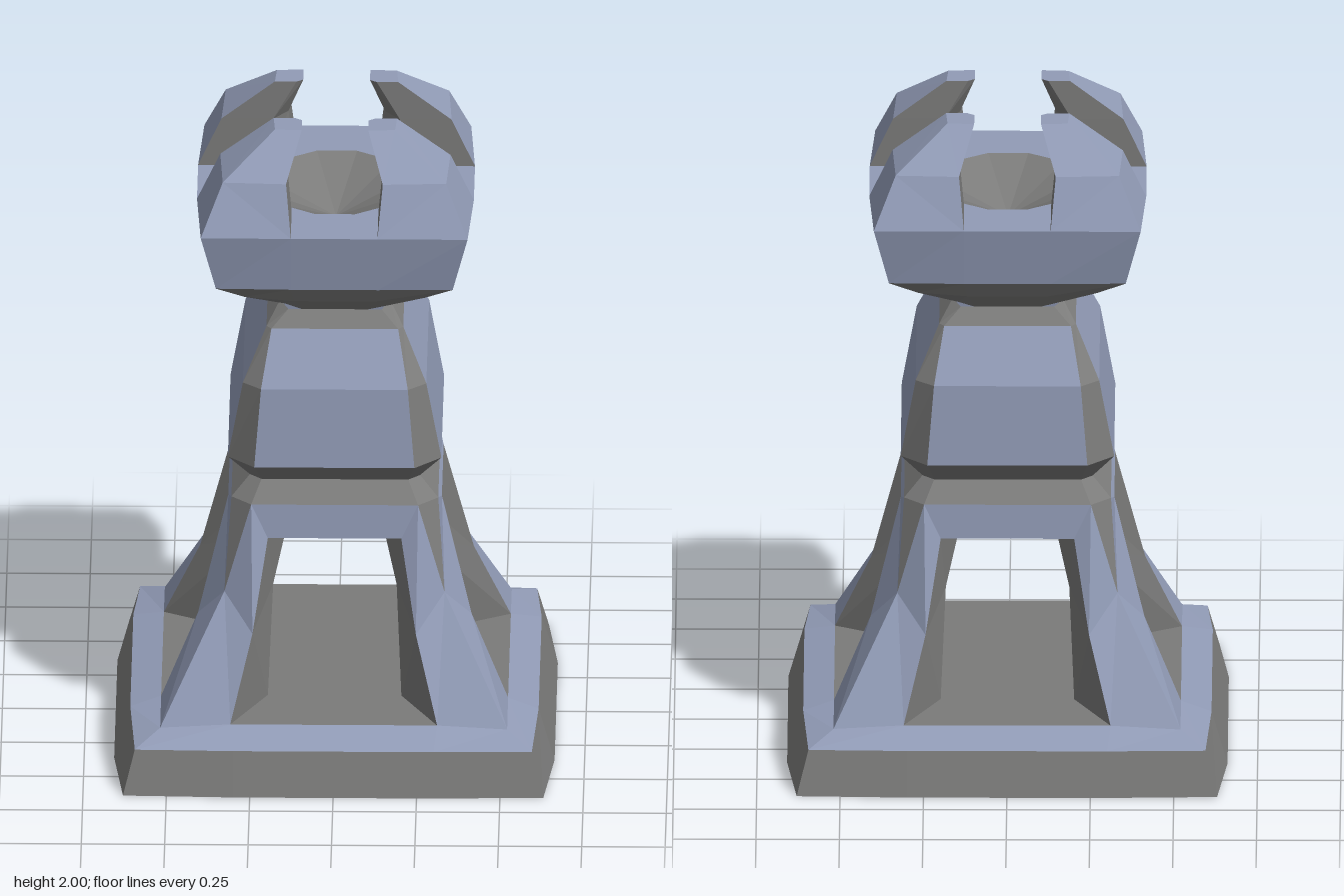
import * as THREE from 'three';

const slate = new THREE.MeshStandardMaterial({ color: 0x919bb6, flatShading: true, side: THREE.DoubleSide });
slate.name = 'slate blue';
const stone = new THREE.MeshStandardMaterial({ color: 0x7b7b7a, flatShading: true, side: THREE.DoubleSide });
stone.name = 'stone grey';
const B = 0, G = 1;

// faces: [material index, corner, corner, corner, ...], each a convex polygon
function mesh(name, faces, flip = false) {
  const lists = [[], []];
  for (const [m, ...p] of faces) {
    for (let i = 1; i < p.length - 1; i++) {
      lists[m].push(...p[0], ...(flip ? p[i + 1] : p[i]), ...(flip ? p[i] : p[i + 1]));
    }
  }
  const g = new THREE.BufferGeometry();
  g.setAttribute('position', new THREE.Float32BufferAttribute([...lists[0], ...lists[1]], 3));
  g.addGroup(0, lists[0].length / 3, 0);
  g.addGroup(lists[0].length / 3, lists[1].length / 3, 1);
  g.computeVertexNormals();
  const part = new THREE.Mesh(g, [slate, stone]);
  part.name = name;
  return part;
}

const mirror = (pts, sx, sz) => pts.map(([x, y, z]) => [x * sx, y, z * sz]);

// full ring from the points of the front left quarter
const ring = (q) => [
  ...q, ...mirror(q, 1, -1).reverse(), ...mirror(q, -1, -1), ...mirror(q, -1, 1).reverse(),
];

// walls between successive rings; paint(layer, side) picks the material
function loft(rings, paint) {
  const faces = [];
  for (let l = 0; l < rings.length - 1; l++) {
    const a = rings[l], b = rings[l + 1], n = a.length;
    for (let i = 0; i < n; i++) {
      const j = (i + 1) % n;
      faces.push([paint(l, i), a[i], a[j], b[j], b[i]]);
    }
  }
  return faces;
}

// triangles from a ring to a centre point
const fan = (r, c, m) => r.map((p, i) => [m, c, p, r[(i + 1) % r.length]]);

export function createModel() {
  const model = new THREE.Group();
  model.name = 'tower';

  // plinth: sloping skirt and rim
  model.add(mesh('plinth', loft([
    ring([[0.3, 0, 0.65], [0.63, 0, 0.64], [0.66, 0, 0.36]]),
    ring([[0.3, 0.135, 0.612], [0.595, 0.135, 0.605], [0.612, 0.16, 0.34]]),
    ring([[0.31, 0.182, 0.52], [0.52, 0.17, 0.52], [0.52, 0.182, 0.31]]),
  ], (l) => (l === 0 ? G : B))));

  // floor, notched around the hollow feet
  const floorRing = ring([[0.31, 0.182, 0.52], [0.2, 0.182, 0.3], [0.3, 0.182, 0.19], [0.52, 0.182, 0.31]]);
  model.add(mesh('floor', fan(floorRing, [0, 0.182, 0], G)));

  // four legs: front edge, corner pair, side edge, two inner edges
  const legRings = [
    [[0.31, 0.182, 0.52], [0.52, 0.17, 0.52], [0.52, 0.17, 0.52], [0.52, 0.182, 0.31], [0.3, 0.182, 0.19], [0.2, 0.182, 0.3]],
    [[0.245, 0.43, 0.41], [0.33, 0.535, 0.33], [0.33, 0.535, 0.33], [0.41, 0.43, 0.25], [0.26, 0.5, 0.14], [0.185, 0.52, 0.24]],
    [[0.2, 0.705, 0.32], [0.25, 0.81, 0.31], [0.31, 0.81, 0.25], [0.32, 0.79, 0.19], [0.2, 0.69, 0.11], [0.145, 0.69, 0.2]],
  ];
  const legPaint = [B, G, B, G, G, G];

  // four prongs: front edge, outer corner, side edge, two inner edges
  const prongRings = [
    [[0.13, 1.73, 0.42], [0.4, 1.73, 0.42], [0.415, 1.73, 0.125], [0.21, 1.73, 0.125], [0.13, 1.73, 0.215]],
    [[0.145, 1.88, 0.355], [0.335, 1.88, 0.345], [0.345, 1.88, 0.13], [0.19, 1.88, 0.13], [0.145, 1.88, 0.19]],
    [[0.1, 2, 0.225], [0.18, 2, 0.22], [0.185, 2, 0.135], [0.12, 2, 0.135], [0.1, 2, 0.15]],
  ];

  for (const sx of [1, -1]) {
    for (const sz of [1, -1]) {
      const name = (sz > 0 ? 'front' : 'back') + (sx > 0 ? 'Left' : 'Right');
      const put = (rings) => rings.map((r) => mirror(r, sx, sz));
      const flip = sx * sz < 0;
      model.add(mesh(name + 'Leg', loft(put(legRings), (l, i) => legPaint[i]), flip));
      const prong = put(prongRings);
      const faces = loft(prong, (l, i) => (i < 2 ? B : G));
      faces.push([B, ...prong[2]]);
      model.add(mesh(name + 'Prong', faces, flip));
    }
  }

  // lintels over the four openings, with sloping undersides
  const [F, O1, O2, S, J, I] = legRings[2];
  const mx = (p) => [-p[0], p[1], p[2]], mz = (p) => [p[0], p[1], -p[2]];
  for (const s of [1, -1]) {
    const zFaces = [[B, mx(F), F, O1, mx(O1)], [G, mx(I), I, F, mx(F)]];
    const xFaces = [[B, S, mz(S), mz(O2), O2], [G, J, mz(J), mz(S), S]];
    model.add(mesh(s > 0 ? 'frontLintel' : 'backLintel', zFaces.map(([m, ...p]) => [m, ...mirror(p, 1, s)]), s < 0));
    model.add(mesh(s > 0 ? 'leftLintel' : 'rightLintel', xFaces.map(([m, ...p]) => [m, ...mirror(p, s, 1)]), s < 0));
  }
  model.add(mesh('ceiling', fan(ring([I, J]), [0, 0.69, 0], G), true));

  // waist and body: eight-sided, grey corners on the body
  model.add(mesh('body', loft([
    ring([[0.25, 0.81, 0.31], [0.31, 0.81, 0.25]]),
    ring([[0.22, 0.87, 0.255], [0.255, 0.87, 0.22]]),
    ring([[0.24, 0.965, 0.385], [0.32, 0.965, 0.305]]),
    ring([[0.22, 1.21, 0.36], [0.275, 1.21, 0.31]]),
    ring([[0.19, 1.365, 0.26], [0.205, 1.365, 0.24]]),
    ring([[0.14, 1.412, 0.22], [0.165, 1.412, 0.15]]),
  ], (l, i) => ((l === 2 || l === 3) && i % 2 === 1 ? B : G))));

  // head: grey underside, blue band and ledge
  const well = ring([[0.06, 1.73, 0.235], [0.165, 1.73, 0.165], [0.235, 1.73, 0.06]]);
  model.add(mesh('head', loft([
    ring([[0.1, 1.412, 0.22], [0.15, 1.412, 0.18], [0.165, 1.412, 0.1]]),
    ring([[0.12, 1.495, 0.35], [0.27, 1.495, 0.32], [0.295, 1.495, 0.12]]),
    ring([[0.13, 1.55, 0.39], [0.355, 1.55, 0.385], [0.37, 1.55, 0.13]]),
    ring([[0.13, 1.73, 0.42], [0.4, 1.73, 0.42], [0.415, 1.73, 0.125]]),
    well,
  ], (l) => (l < 2 ? G : B))));

  // shallow bowl between the prongs
  model.add(mesh('bowl', fan(well, [0, 1.62, 0], G)));

  return model;
}
